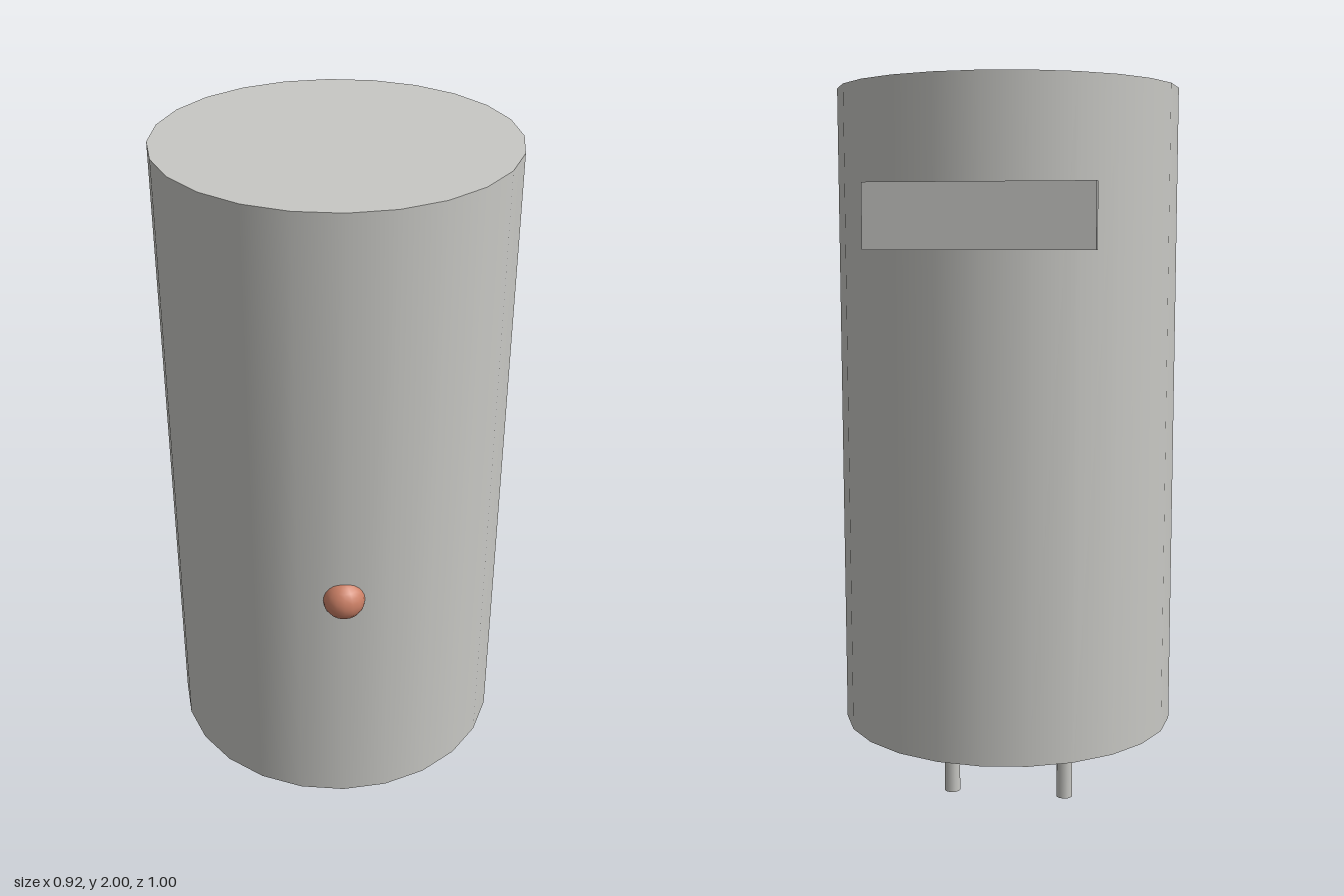
import * as THREE from 'three';

export function createModel() {
  const group = new THREE.Group();
  const enamel = new THREE.MeshStandardMaterial({ color: 0xc8c8c4 });
  enamel.name = 'light grey enamel';
  const copper = new THREE.MeshStandardMaterial({ color: 0xcc8066 });
  copper.name = 'copper';

  const add = (name, geometry, material, x, y, z) => {
    const mesh = new THREE.Mesh(geometry, material);
    mesh.name = name;
    mesh.position.set(x, y, z);
    group.add(mesh);
  };

  const axisZ = -0.004;
  const bottom = 0.252;

  // Upright tank
  add('tank', new THREE.CylinderGeometry(0.462, 0.462, 2 - bottom, 24), enamel, 0, (2 + bottom) / 2, axisZ);

  // Two pipes under the tank
  for (const [name, side] of [['leftPipe', 1], ['rightPipe', -1]]) {
    add(name, new THREE.CylinderGeometry(0.023, 0.023, bottom, 12), enamel, side * 0.165, bottom / 2, axisZ);
  }

  // Wall bracket across the back
  add('wallBracket', new THREE.BoxGeometry(0.577, 0.165, 0.04), enamel, 0, 1.653, -0.478);

  // Round knob set into the front
  add('frontKnob', new THREE.SphereGeometry(0.056, 16, 12), copper, 0, 0.931, 0.442);

  return group;
}
